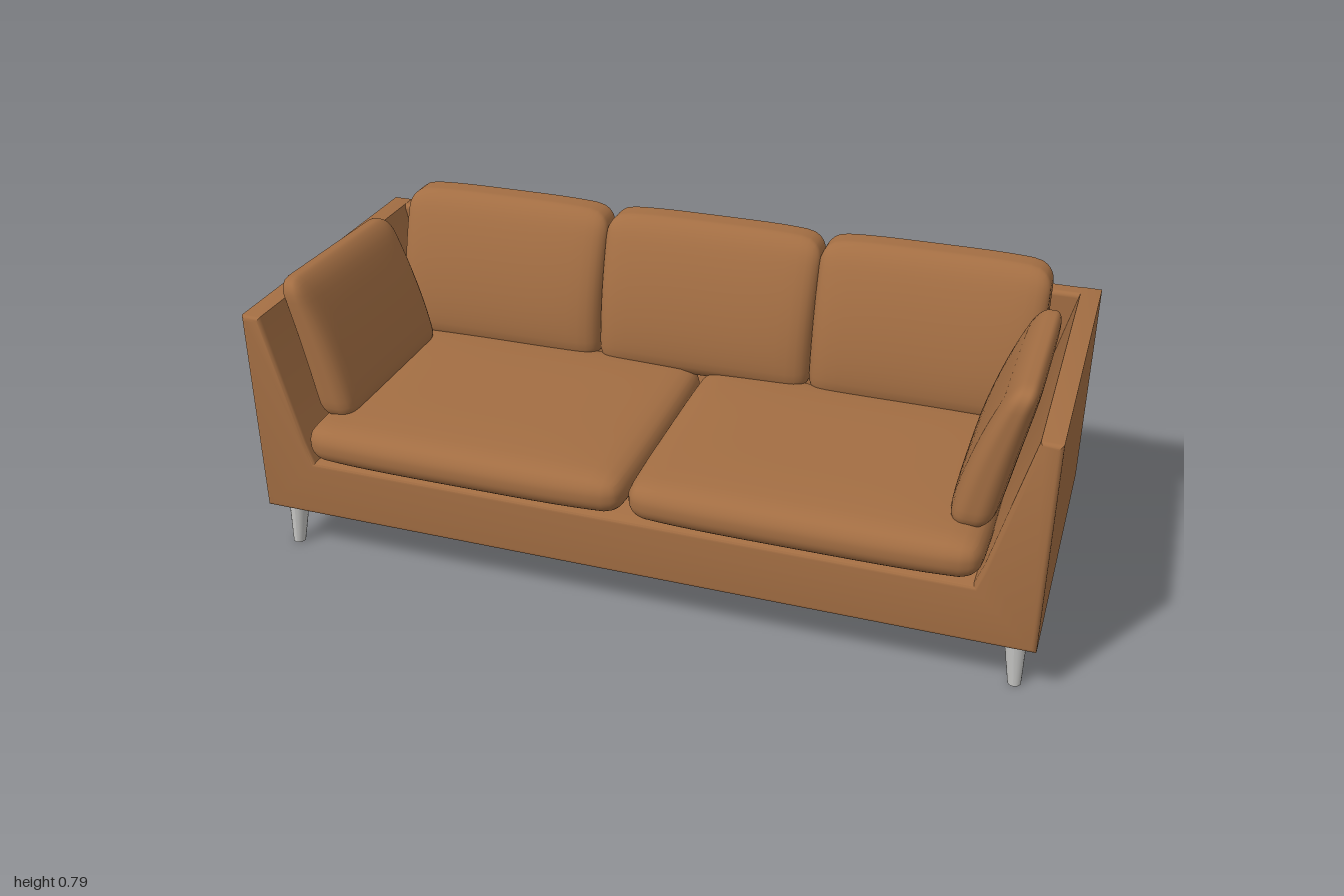
import * as THREE from 'three';
import { mergeVertices, toCreasedNormals } from 'three/addons/utils/BufferGeometryUtils.js';
import { RoundedBoxGeometry } from 'three/addons/geometries/RoundedBoxGeometry.js';

const leather = new THREE.MeshStandardMaterial({ color: 0xa36e43 });
leather.name = 'tan leather';
const metal = new THREE.MeshStandardMaterial({ color: 0xc4c4c2 });
metal.name = 'brushed metal';

const { lerp, clamp } = THREE.MathUtils;

function addMesh(parent, name, geometry, material) {
  const mesh = new THREE.Mesh(geometry, material);
  mesh.name = name;
  parent.add(mesh);
  return mesh;
}

// Soft box: a finely divided box with rounded edges, then reshaped by warp(point, unit)
// where unit holds the coordinates scaled to -1..1.
function cushionGeometry(size, radius, warp) {
  const n = 20;
  let geo = new THREE.BoxGeometry(2, 2, 2, n, n, n);
  geo.deleteAttribute('uv');
  geo.deleteAttribute('normal');
  geo = mergeVertices(geo);
  const half = new THREE.Vector3(...size).multiplyScalar(0.5);
  const pos = geo.attributes.position;
  const p = new THREE.Vector3(), inner = new THREE.Vector3(), unit = new THREE.Vector3();
  for (let i = 0; i < pos.count; i++) {
    p.fromBufferAttribute(pos, i);
    for (const a of ['x', 'y', 'z']) {
      p[a] = Math.sin(p[a] * Math.PI / 2) * half[a]; // crowd divisions at the edges
      inner[a] = clamp(p[a], radius - half[a], half[a] - radius);
    }
    p.sub(inner).normalize().multiplyScalar(radius).add(inner);
    unit.copy(p).divide(half);
    warp(p, unit);
    pos.setXYZ(i, p.x, p.y, p.z);
  }
  geo.computeVertexNormals();
  return geo;
}

// Fullness of a pillow: 1 in the middle, 0 along the seams
const puff = (a, b) => (1 - a ** 4) * (1 - b ** 4);

function addFrame(group) {
  // Base and both arms: one U-shaped section with sloping inner arm faces
  const half = [[1, 0.135], [1, 0.687], [0.95, 0.687], [0.862, 0.35], [0.842, 0.292]];
  const outline = [...half, ...half.slice().reverse().map(([x, y]) => [-x, y])];
  const shape = new THREE.Shape(outline.map(([x, y]) => new THREE.Vector2(x, y)));
  const bevel = 0.012;
  const body = new THREE.ExtrudeGeometry(shape, {
    depth: 0.84 - 2 * bevel, bevelEnabled: true, bevelSize: bevel,
    bevelThickness: bevel, bevelOffset: -bevel, bevelSegments: 4,
  });
  body.translate(0, 0, -0.435 + bevel);
  addMesh(group, 'baseAndArms', toCreasedNormals(body, 0.6), leather);

  // Back panel between the arms
  const back = addMesh(group, 'backPanel', new RoundedBoxGeometry(1.985, 0.545, 0.055, 4, 0.012), leather);
  back.position.set(0, 0.414, -0.407);
}

function addSeatCushions(group) {
  const geo = cushionGeometry([0.86, 0.11, 0.67], 0.05, (p, u) => {
    p.y *= 0.88 + 0.3 * puff(u.x, u.z);
    p.z += 0.012 * (1 - u.x ** 4) * Math.max(u.z, 0) - 0.01;
    p.x *= 1 - 0.015 * u.z ** 4;
  });
  for (const side of [-1, 1]) {
    const name = side > 0 ? 'leftSeatCushion' : 'rightSeatCushion';
    addMesh(group, name, geo, leather).position.set(side * 0.43, 0.352, 0.098);
  }
}

function addBackCushions(group) {
  // Wedge section: upright rear face, front face leaning back
  const geo = cushionGeometry([0.59, 0.41, 0.2], 0.05, (p, u) => {
    const t = (u.y + 1) / 2;
    const bulge = 0.86 + 0.14 * puff(u.x, u.y);
    p.z = p.z * lerp(1.03, 0.55, t * t) * bulge + lerp(-0.272, -0.333, t * t);
    p.y -= 0.012 * Math.max(u.y, 0) * u.x ** 4;
  });
  ['right', 'middle', 'left'].forEach((place, i) => {
    addMesh(group, place + 'BackCushion', geo, leather).position.set((i - 1) * 0.588, 0.581, 0);
  });
}

function addArmPillows(group) {
  for (const side of [-1, 1]) {
    // Pillow resting against the sloping arm, curving over at the top
    const geo = cushionGeometry([0.12, 0.37, 0.51], 0.045, (p, u) => {
      const t = (u.y + 1) / 2;
      const bulge = 0.82 + 0.18 * puff(u.y, u.z);
      p.x = p.x * lerp(1, 0.62, t * t) * bulge;
      p.x += side * (lerp(0.805, 0.905, t) - 0.008 * Math.sin(t * Math.PI));
      p.y += 0.009 * u.z * t;
    });
    const name = side > 0 ? 'leftArmPillow' : 'rightArmPillow';
    addMesh(group, name, geo, leather).position.set(0, 0.571, 0.085);
  }
}

function addLegs(group) {
  for (const sx of [-1, 1]) {
    for (const sz of [-1, 1]) {
      // Tapered leg whose foot is set slightly outward
      const geo = new THREE.CylinderGeometry(0.029, 0.016, 0.145, 20, 4);
      const pos = geo.attributes.position;
      for (let i = 0; i < pos.count; i++) {
        const drop = 0.5 - pos.getY(i) / 0.145;
        pos.setX(i, pos.getX(i) + sx * 0.012 * drop);
        pos.setZ(i, pos.getZ(i) + sz * 0.01 * drop);
      }
      geo.computeVertexNormals();
      const name = (sz > 0 ? 'front' : 'back') + (sx > 0 ? 'Left' : 'Right') + 'Leg';
      addMesh(group, name, geo, metal).position.set(sx * 0.944, 0.0725, sz * 0.336);
    }
  }
}

export function createModel() {
  const sofa = new THREE.Group();
  sofa.name = 'sofa';
  addFrame(sofa);
  addSeatCushions(sofa);
  addBackCushions(sofa);
  addArmPillows(sofa);
  addLegs(sofa);
  return sofa;
}
